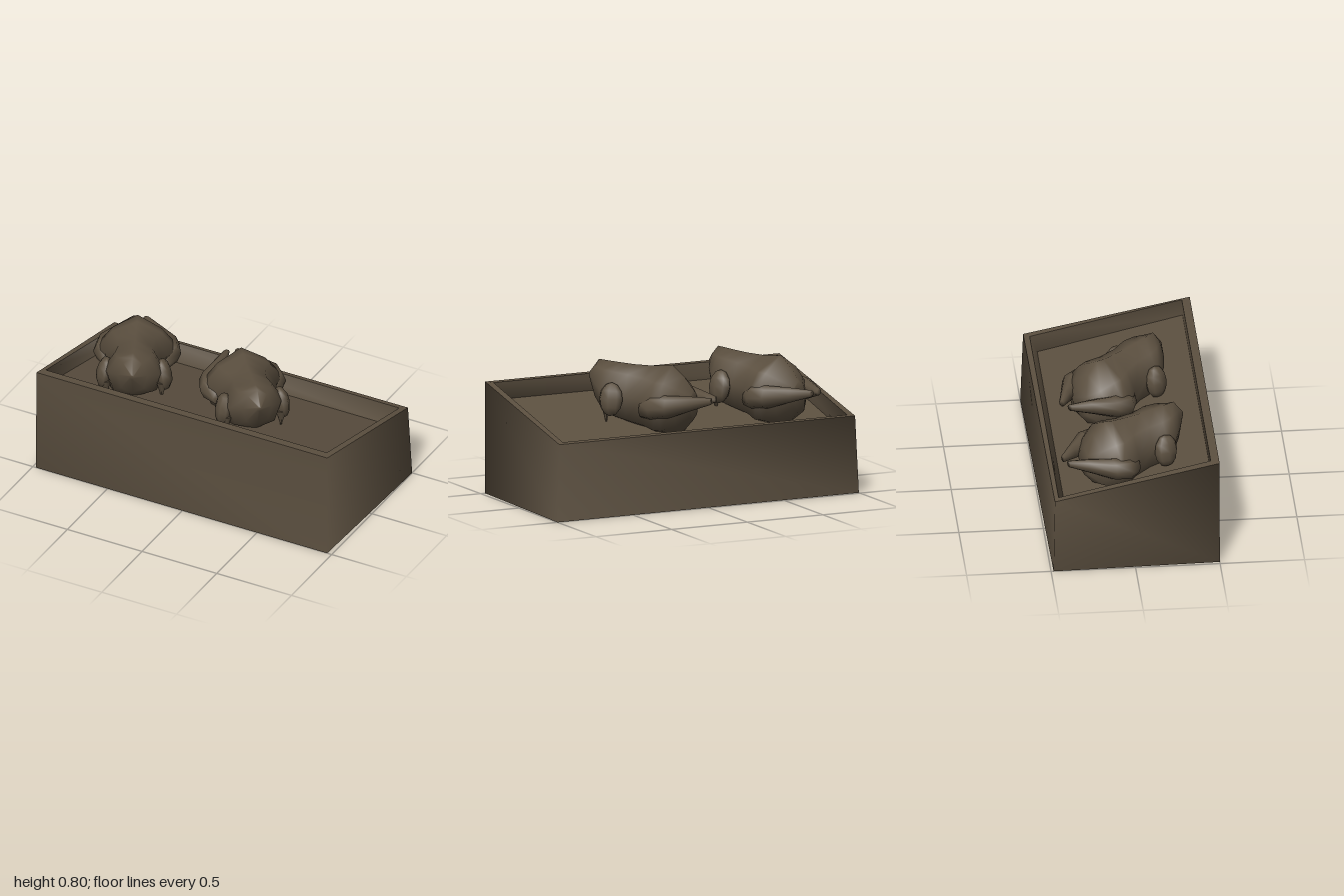
import * as THREE from 'three';

const brown = new THREE.MeshStandardMaterial({ color: 0x5c5040, side: THREE.DoubleSide });
brown.name = 'dark brown';

// Skin a list of equal-length point rings; optionally close both ends
function skin(rings, capped = false) {
  const n = rings[0].length, pos = rings.flat(2), idx = [];
  for (let i = 0; i < rings.length - 1; i++) {
    for (let j = 0; j < n; j++) {
      const k = (j + 1) % n, a = i * n + j, b = i * n + k;
      idx.push(a, b, a + n, b, b + n, a + n);
    }
  }
  if (capped) {
    const last = (rings.length - 1) * n;
    for (let j = 1; j < n - 1; j++) {
      idx.push(0, j + 1, j);
      idx.push(last, last + j, last + j + 1);
    }
  }
  const g = new THREE.BufferGeometry();
  g.setAttribute('position', new THREE.Float32BufferAttribute(pos, 3));
  g.setIndex(idx);
  g.computeVertexNormals();
  return g;
}

function add(parent, name, geometry) {
  const mesh = new THREE.Mesh(geometry, brown);
  mesh.name = name;
  parent.add(mesh);
  return mesh;
}

// Half cross-section mirrored into a full ring around the body
function bodyRing([z, w, top, mid, bottom, shoulder]) {
  const lift = mid + (top - mid) * shoulder;
  const low = mid + (bottom - mid) * 0.75;
  return [
    [w, mid, z], [w * 0.62, lift, z], [0, top, z], [-w * 0.62, lift, z],
    [-w, mid, z], [-w * 0.75, low, z], [0, bottom, z], [w * 0.75, low, z],
  ];
}

// Plucked bird lying on its back, breast end toward +z
function makeBird() {
  const bird = new THREE.Group();
  bird.name = 'bird';
  // station: z, half width, top, side height, bottom, upper roundness
  const stations = [
    [-0.27, 0.07, 0.66, 0.58, 0.48, 0.6],
    [-0.21, 0.17, 0.735, 0.59, 0.41, 0.55],
    [-0.135, 0.235, 0.80, 0.60, 0.38, 0.55],
    [-0.08, 0.24, 0.79, 0.60, 0.38, 0.6],
    [0.0, 0.185, 0.785, 0.61, 0.40, 0.66],
    [0.11, 0.16, 0.785, 0.62, 0.42, 0.72],
    [0.2, 0.18, 0.79, 0.64, 0.45, 0.75],
    [0.27, 0.155, 0.795, 0.65, 0.49, 0.75],
    [0.335, 0.09, 0.80, 0.68, 0.56, 0.7],
    [0.395, 0.012, 0.72, 0.71, 0.69, 0.7],
  ];
  add(bird, 'body', skin(stations.map(bodyRing), true));

  for (const s of [1, -1]) {
    // Drumstick tapering toward the tail
    const path = [
      [0.15, 0.55, 0.0, 0.05], [0.185, 0.57, -0.08, 0.075],
      [0.175, 0.58, -0.18, 0.068], [0.095, 0.595, -0.3, 0.042],
      [0.035, 0.605, -0.395, 0.02],
    ];
    const rings = path.map(([x, y, z, r]) => Array.from({ length: 8 }, (_, j) => {
      const a = j * Math.PI / 4;
      return [s * x + r * Math.cos(a), y + r * Math.sin(a), z];
    }));
    add(bird, 'drumstick', skin(rings, true));

    // Folded wing with a tip hanging at the side
    const wing = add(bird, 'wing', new THREE.SphereGeometry(1, 8, 6));
    wing.scale.set(0.05, 0.1, 0.075);
    wing.position.set(s * 0.175, 0.6, 0.185);
    wing.rotation.z = s * 0.15;
    const tip = add(bird, 'wingTip', new THREE.ConeGeometry(0.035, 0.12, 6));
    tip.position.set(s * 0.165, 0.51, 0.22);
    tip.rotation.x = Math.PI;
  }
  return bird;
}

export function createModel() {
  const model = new THREE.Group();
  model.name = 'displayBin';

  // Bin outline loops: ground, outer rim, inner rim and tray floor
  const ground = [[0.97, 0, 0.5], [1, 0, -0.5], [-1, 0, -0.485], [-0.98, 0, 0.5]];
  const rim = [[0.97, 0.67, 0.5], [0.98, 0.462, -0.485], [-0.98, 0.462, -0.475], [-0.975, 0.67, 0.5]];
  const lip = [[0.94, 0.67, 0.45], [0.94, 0.467, -0.45], [-0.94, 0.467, -0.45], [-0.94, 0.67, 0.45]];
  const floor = [[0.94, 0.565, 0.455], [0.94, 0.36, -0.405], [-0.94, 0.36, -0.405], [-0.94, 0.565, 0.455]];

  add(model, 'outerWalls', skin([ground, rim]));
  add(model, 'rim', skin([rim, lip]));
  add(model, 'innerWalls', skin([lip, floor]));

  // Sloping tray floor
  const tray = new THREE.BufferGeometry();
  tray.setAttribute('position', new THREE.Float32BufferAttribute(floor.flat(), 3));
  tray.setIndex([0, 1, 2, 0, 2, 3]);
  tray.computeVertexNormals();
  add(model, 'trayFloor', tray);

  // Two birds laid at different angles
  for (const [x, z, turn] of [[-0.595, -0.032, 0.43], [0.14, -0.03, 0.7]]) {
    const bird = makeBird();
    bird.position.set(x, 0, z);
    bird.rotation.y = turn;
    model.add(bird);
  }
  return model;
}
